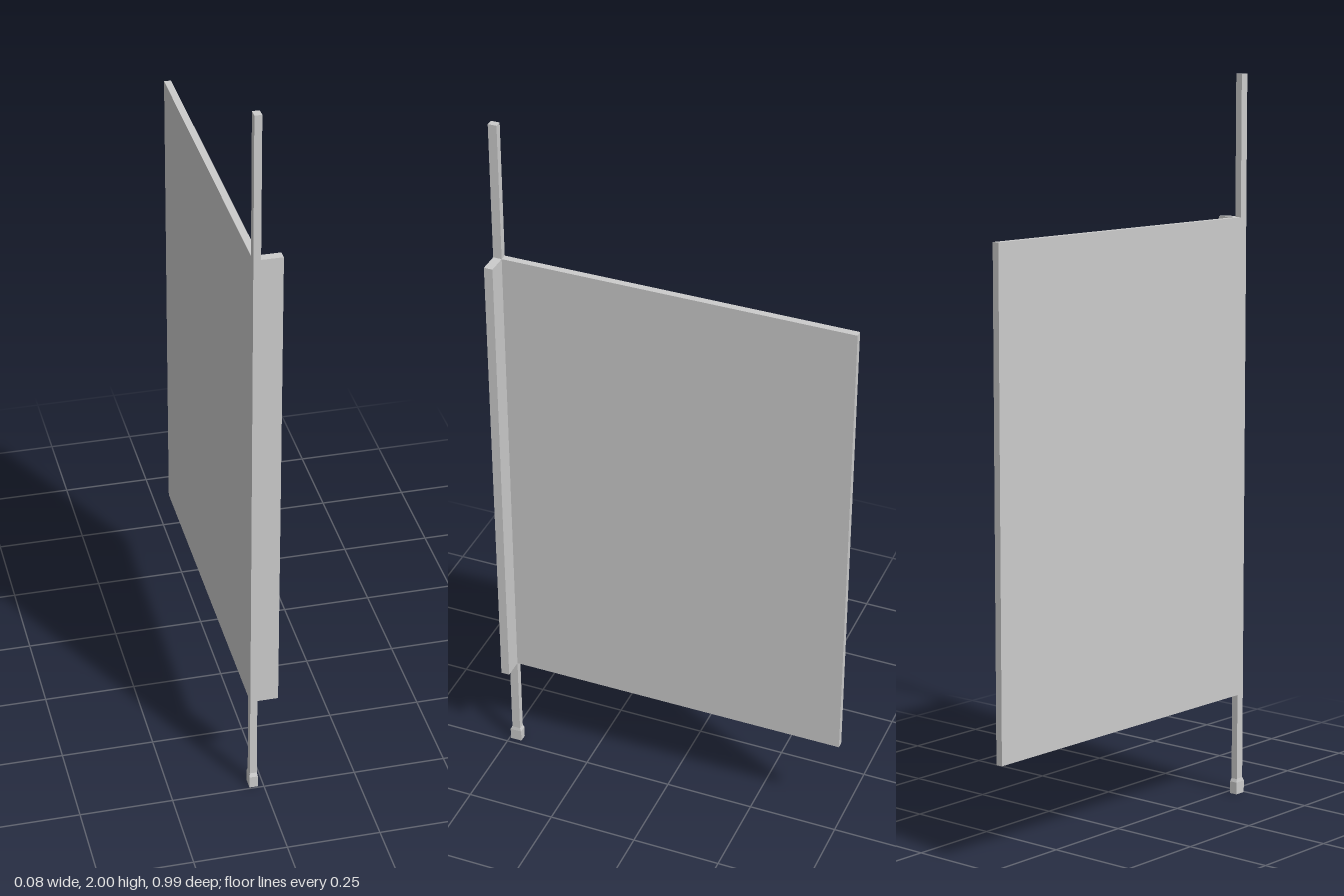
import * as THREE from 'three';

const material = new THREE.MeshStandardMaterial({ color: 0xcccccc, flatShading: true });

// Box given by its lower and upper corners
function block(name, [x0, y0, z0], [x1, y1, z1]) {
  const mesh = new THREE.Mesh(new THREE.BoxGeometry(x1 - x0, y1 - y0, z1 - z0), material);
  mesh.name = name;
  mesh.position.set((x0 + x1) / 2, (y0 + y1) / 2, (z0 + z1) / 2);
  return mesh;
}

export function createModel() {
  const group = new THREE.Group();
  group.name = 'panelOnPole';
  const panelBottom = 0.285, panelTop = 1.615;

  // Upright pole and the flat panel running back from it
  group.add(block('pole', [-0.037, 0.03, 0.467], [-0.018, 2, 0.491]));
  group.add(block('panel', [-0.037, panelBottom, -0.496], [-0.018, panelTop, 0.467]));

  // Flange standing out sideways along the pole
  group.add(block('flange', [-0.018, panelBottom, 0.467], [0.038, panelTop, 0.491]));

  // Foot cap, with a collar tapering up to the pole
  const foot = block('foot', [-0.039, 0, 0.463], [-0.016, 0.034, 0.496]);
  const collar = block('footCollar', [-0.039, 0.034, 0.463], [-0.016, 0.044, 0.496]);
  const p = collar.geometry.attributes.position;
  for (let i = 0; i < p.count; i++) {
    if (p.getY(i) > 0) {
      p.setX(i, p.getX(i) * 0.83);
      p.setZ(i, p.getZ(i) * 0.73);
    }
  }
  collar.geometry.computeVertexNormals();
  group.add(foot, collar);

  return group;
}
